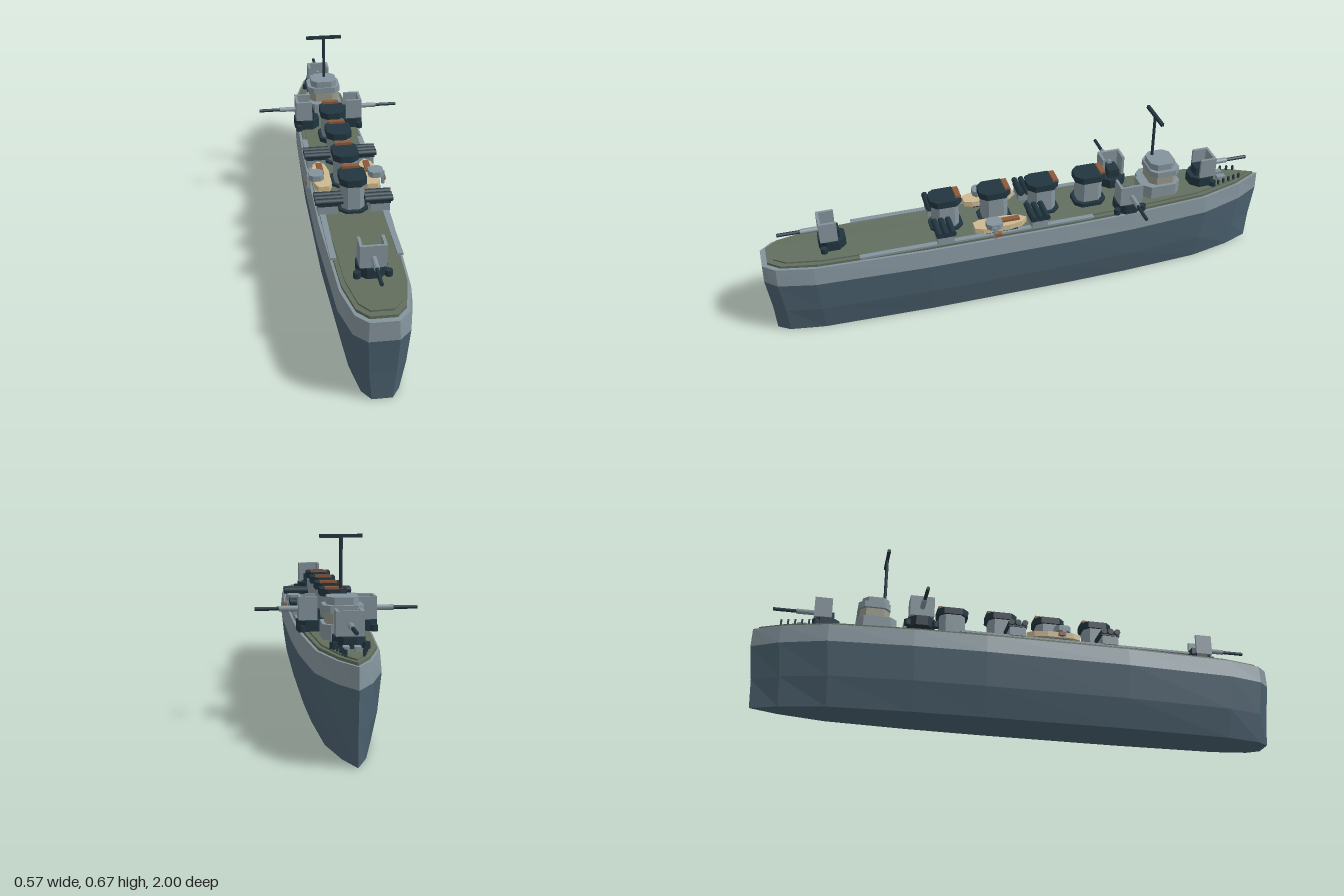
import * as THREE from 'three';

const mat = (name, color, extra = {}) => {
  const m = new THREE.MeshStandardMaterial({ color, ...extra });
  m.name = name;
  return m;
};

export function createModel() {
  const ship = new THREE.Group();
  ship.name = 'warship';
  const lower = mat('slate blue', 0x4c6270);
  const grey = mat('light grey', 0x84949c);
  const dark = mat('dark navy', 0x22353f);
  const green = mat('deck green', 0x626e5e);
  const tan = mat('tan', 0xcdb98f);
  const brown = mat('brown', 0x8a5a3c);
  const khaki = mat('khaki', 0x97998a);

  const add = (parent, name, geo, m, x = 0, y = 0, z = 0) => {
    const mesh = new THREE.Mesh(geo, m);
    mesh.name = name;
    mesh.position.set(x, y, z);
    parent.add(mesh);
    return mesh;
  };
  const group = (name, parent, x = 0, y = 0, z = 0) => {
    const g = new THREE.Group();
    g.name = name;
    g.position.set(x, y, z);
    parent.add(g);
    return g;
  };
  const box = (parent, name, m, w, h, d, x, y, z) =>
    add(parent, name, new THREE.BoxGeometry(w, h, d), m, x, y, z);
  // Upright prism from a plan of [x, z] points, resting on y = 0
  const prism = (plan, h) => {
    const shape = new THREE.Shape(plan.map(([x, z]) => new THREE.Vector2(x, -z)));
    return new THREE.ExtrudeGeometry(shape, { depth: h, bevelEnabled: false }).rotateX(-Math.PI / 2);
  };
  // Rectangle plan with cut corners
  const cut = (w, d, c) => {
    const a = w / 2, b = d / 2;
    return [[a - c, -b], [a, -b + c], [a, b - c], [a - c, b], [-a + c, b], [-a, b - c], [-a, -b + c], [-a + c, -b]];
  };
  // Horizontal rod running along z from z0 to z1
  const rod = (parent, name, m, r, z0, z1, x, y) =>
    add(parent, name, new THREE.CylinderGeometry(r, r, z1 - z0, 8).rotateX(Math.PI / 2), m, x, y, (z0 + z1) / 2);

  // Hull: plan outline scaled at four heights
  const half = [[0.055, -0.9], [0.108, -0.73], [0.132, -0.42], [0.14, -0.15], [0.14, 0.4],
    [0.123, 0.82], [0.092, 0.955], [0.05, 1]];
  const plan = [[0, -1], ...half, ...half.map(([x, z]) => [-x, z]).reverse()];
  const ring = (sx, sz, y) => plan.map(([x, z]) => [x * sx, y, z * sz]);
  const levels = [ring(0.68, 0.98, 0), ring(0.89, 0.985, 0.11), ring(1, 1, 0.24), ring(0.94, 0.998, 0.31)];
  const loft = (rings, capBottom, capTop) => {
    const v = [];
    const n = plan.length;
    for (let i = 0; i < n; i++) {
      const j = (i + 1) % n;
      for (let k = 0; k + 1 < rings.length; k++) {
        const [a, b, c, d] = [rings[k][i], rings[k + 1][i], rings[k + 1][j], rings[k][j]];
        v.push(...a, ...b, ...c, ...a, ...c, ...d);
      }
      const top = rings[rings.length - 1];
      if (capBottom) v.push(0, 0, 0, ...rings[0][i], ...rings[0][j]);
      if (capTop) v.push(0, top[0][1], 0, ...top[j], ...top[i]);
    }
    const g = new THREE.BufferGeometry();
    g.setAttribute('position', new THREE.Float32BufferAttribute(v, 3));
    g.computeVertexNormals();
    return g;
  };
  add(ship, 'lowerHull', loft(levels.slice(0, 3), true, false), lower);
  add(ship, 'upperHullBand', loft(levels.slice(2), false, true), grey);
  add(ship, 'deckEdge', loft([ring(0.87, 0.978, 0.308), ring(0.87, 0.978, 0.32)], false, true), green);
  add(ship, 'deck', loft([ring(0.76, 0.955, 0.32), ring(0.76, 0.955, 0.326)], false, true), green);
  for (const s of [-1, 1]) box(ship, 'sideWalkway', grey, 0.02, 0.008, 0.9, s * 0.113, 0.324, 0.2);

  // Deck guns with open-backed shields, modelled facing +z
  const gun = (name, x, z, turn) => {
    const g = group(name, ship, x, 0.325, z);
    g.rotation.y = turn;
    add(g, 'gunBase', prism(cut(0.1, 0.1, 0.028), 0.038), dark);
    for (const s of [-1, 1]) {
      add(g, 'baseBollard', new THREE.CylinderGeometry(0.013, 0.013, 0.022, 8), dark, s * 0.052, 0.011, 0.035);
      box(g, 'shieldSide', grey, 0.01, 0.08, 0.065, s * 0.04, 0.08, 0.0125);
    }
    box(g, 'shieldFront', grey, 0.09, 0.08, 0.01, 0, 0.08, 0.04);
    box(g, 'gunBreech', dark, 0.045, 0.035, 0.06, 0, 0.055, 0);
    rod(g, 'barrelSleeve', grey, 0.01, 0.02, 0.11, 0, 0.075);
    rod(g, 'barrel', dark, 0.0068, 0.1, 0.195, 0, 0.075);
  };
  gun('aftGun', 0, 0.735, 0);
  gun('foreGun', 0, -0.74, Math.PI);
  gun('leftGun', 0.09, -0.395, Math.PI / 2);
  gun('rightGun', -0.09, -0.395, -Math.PI / 2);

  // Four funnels
  [0.305, 0.115, -0.075, -0.265].forEach((z, i) => {
    const f = group('funnel', ship, 0, 0.325, z);
    add(f, 'funnelFoot', prism(cut(0.105, 0.125, 0.025), i === 3 ? 0.018 : 0.01), dark);
    add(f, 'funnelBody', prism(cut(0.082, 0.098, 0.02), 0.11), grey);
    add(f, 'funnelCap', prism(cut(0.096, 0.12, 0.024), 0.026), dark, 0, 0.105, 0);
    box(f, 'funnelMouth', brown, 0.064, 0.01, 0.02, 0, 0.135, -0.047);
  });

  // Triple torpedo tubes on both sides
  for (const z of [0.33, -0.032]) {
    for (const s of [-1, 1]) {
      const t = group('torpedoMount', ship, 0, 0.325, z);
      box(t, 'mountBase', grey, 0.07, 0.034, 0.062, s * 0.094, 0.017, 0);
      box(t, 'mountPlate', dark, 0.075, 0.008, 0.07, s * 0.094, 0.038, 0);
      for (const k of [-1, 0, 1]) {
        add(t, 'torpedoTube', new THREE.CylinderGeometry(0.012, 0.012, 0.1, 8).rotateZ(Math.PI / 2), dark,
          s * 0.089, 0.05, k * 0.026);
      }
    }
  }

  // Ship's boats with small cabins
  const boatPlan = [[0, -0.105], [0.022, -0.08], [0.032, -0.03], [0.032, 0.07], [0.02, 0.1],
    [-0.02, 0.1], [-0.032, 0.07], [-0.032, -0.03], [-0.022, -0.08]];
  for (const s of [-1, 1]) {
    const b = group('boat', ship, s * 0.09, 0.325, 0.115);
    box(b, 'boatCradle', dark, 0.045, 0.014, 0.13, 0, 0.007, 0);
    add(b, 'boatHull', prism(boatPlan, 0.022), tan, 0, 0.012, 0);
    box(b, 'boatSeat', brown, 0.022, 0.012, 0.08, 0, 0.036, -0.035);
    add(b, 'boatCabin', prism(cut(0.055, 0.06, 0.014), 0.022), grey, s * 0.022, 0.034, 0.028);
    box(b, 'davit', grey, 0.012, 0.05, 0.012, s * 0.05, 0.022, 0.03);
    box(b, 'boatFender', brown, 0.012, 0.014, 0.025, s * 0.055, 0.015, 0.02);
  }

  // Bridge
  const bridge = group('bridge', ship, 0, 0.325, -0.555);
  add(bridge, 'bridgeBase', prism(cut(0.14, 0.15, 0.025), 0.052), grey);
  add(bridge, 'wheelhouse', prism(cut(0.115, 0.11, 0.022), 0.04), khaki, 0, 0.052, -0.008);
  add(bridge, 'bridgeWing', prism(cut(0.135, 0.12, 0.022), 0.024), grey, 0, 0.09, -0.01);
  add(bridge, 'bridgeRoof', prism(cut(0.106, 0.1, 0.022), 0.027), grey, 0, 0.113, -0.005);

  // Mast and yard
  const mast = group('mast', ship, 0, 0, -0.525);
  add(mast, 'mastPole', new THREE.CylinderGeometry(0.006, 0.006, 0.18, 8), dark, 0, 0.575, 0);
  box(mast, 'yard', dark, 0.144, 0.012, 0.012, 0, 0.66, 0);

  // Foredeck fittings
  for (const s of [-1, 1]) {
    for (let i = 0; i < 5; i++) {
      const z = -0.8 - i * 0.025;
      box(ship, 'bowPost', dark, 0.007, 0.022, 0.007, s * (0.052 - i * 0.006), 0.334, z);
    }
    box(ship, 'breakwater', grey, 0.02, 0.016, 0.035, s * 0.018, 0.334, -0.825);
  }
  return ship;
}
